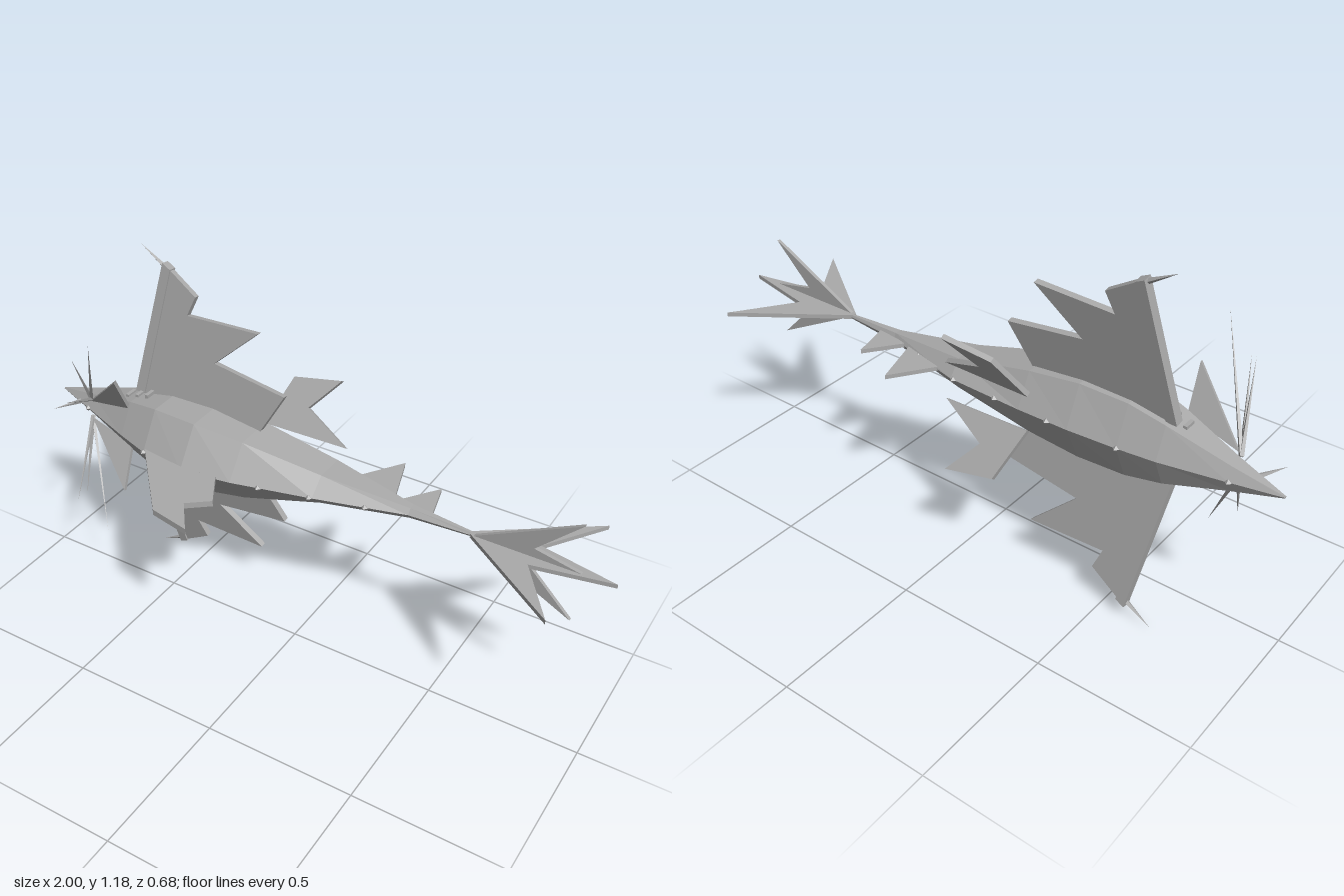
import * as THREE from 'three';

const MID = 0.592; // height of the symmetry plane

export function createModel() {
  const grey = new THREE.MeshStandardMaterial({ color: 0xaaaaaa, flatShading: true });
  grey.name = 'hull grey';
  const model = new THREE.Group();
  const V = (x, y, z) => new THREE.Vector3(x, y, z);
  const add = (name, geometry) => {
    const mesh = new THREE.Mesh(geometry, grey);
    mesh.name = name;
    model.add(mesh);
    return mesh;
  };

  // Flat plate: outline points in the plane spanned by x and v, through origin
  const plate = (name, pts, thickness, origin, v) => {
    const shape = new THREE.Shape(pts.map(p => new THREE.Vector2(p[0], p[1])));
    const g = new THREE.ExtrudeGeometry(shape, { depth: thickness, bevelEnabled: false });
    g.translate(0, 0, -thickness / 2);
    const u = V(1, 0, 0), vn = v.clone().normalize();
    const m = new THREE.Matrix4().makeBasis(u, vn, u.clone().cross(vn)).setPosition(origin);
    return add(name, g.applyMatrix4(m));
  };

  // Thin four-sided spike from root to tip
  const spike = (name, root, tip, radius) => {
    const dir = tip.clone().sub(root), len = dir.length();
    const g = new THREE.ConeGeometry(radius, len, 4);
    g.translate(0, len / 2, 0);
    const mesh = add(name, g);
    mesh.quaternion.setFromUnitVectors(V(0, 1, 0), dir.normalize());
    mesh.position.copy(root);
  };

  // Hexagonal hull: x, back z, front z, half height
  const stations = [
    [-1, -0.108, -0.1, 0.003], [-0.85, -0.14, -0.045, 0.04], [-0.65, -0.18, 0.03, 0.097],
    [-0.53, -0.193, 0.07, 0.121], [-0.37, -0.203, 0.09, 0.125], [-0.2, -0.204, 0.064, 0.105],
    [0.06, -0.195, 0, 0.052], [0.35, -0.125, -0.08, 0.018], [0.57, -0.104, -0.092, 0.006],
  ];
  const rings = stations.map(([x, back, front, h]) => {
    const at = t => back + (front - back) * t;
    return [[1, 0], [0.71, -h], [0.2, -h], [0, 0], [0.2, h], [0.71, h]]
      .map(([t, y]) => V(x, MID + y, at(t)));
  });
  const tris = [];
  for (let i = 0; i < rings.length - 1; i++) {
    for (let k = 0; k < 6; k++) {
      const n = (k + 1) % 6, a = rings[i], b = rings[i + 1];
      tris.push(a[k], a[n], b[n], a[k], b[n], b[k]);
    }
  }
  const first = rings[0], last = rings[rings.length - 1];
  for (let k = 1; k < 5; k++) {
    tris.push(first[0], first[k + 1], first[k], last[0], last[k], last[k + 1]);
  }
  const hull = new THREE.BufferGeometry().setFromPoints(tris);
  hull.computeVertexNormals();
  add('body', hull);

  // Fins and spines, mirrored above and below the symmetry plane
  for (const s of [1, -1]) {
    const side = s > 0 ? 'upper' : 'lower';
    const y = h => MID + s * (h - MID);
    // Outline given as x and height, slanted along direction (dy, dz)
    const slanted = (name, pts, thickness, y0, z0, dy, dz) => {
      const scale = Math.hypot(dy, dz) / dy;
      return plate(side + name, pts.map(([x, h]) => [x, (h - y0) * scale]), thickness,
        V(0, y(y0), z0), V(0, s * dy, dz));
    };

    slanted('MainFin', [[-0.66, 0.68], [-0.575, 1.13], [-0.463, 1.06], [-0.49, 0.994],
      [-0.227, 1.004], [-0.377, 0.867], [-0.115, 0.83], [-0.2, 0.675]],
    0.02, 0.7, -0.11, 0.44, -0.075);
    slanted('FinSpar', [[-0.675, 0.69], [-0.59, 1.14], [-0.56, 1.125], [-0.64, 0.69]],
      0.03, 0.7, -0.11, 0.44, -0.075);
    spike(side + 'FinTipSpine', V(-0.575, y(1.12), -0.18), V(-0.68, y(1.18), -0.187), 0.01);

    slanted('RearFin', [[-0.235, 0.655], [-0.18, 0.797], [-0.016, 0.823],
      [-0.1, 0.73], [0.065, 0.66]], 0.016, 0.655, -0.2, 0.165, -0.112);

    slanted('HeadFin', [[-0.83, 0.63], [-0.645, 0.805], [-0.655, 0.67]],
      0.012, 0.635, -0.045, 0.165, 0.085);

    // Whisker spines behind the nose
    const root = V(-0.84, y(0.625), -0.055);
    const tips = [[-0.68, 0.957, 0.11], [-0.72, 0.782, 0.195], [-0.79, 0.86, 0.075]];
    for (const [x, h, z] of tips) spike(side + 'Whisker', root, V(x, y(h), z), 0.008);

    // Gill slits
    for (let i = 0; i < 3; i++) {
      const gill = add(side + 'Gill', new THREE.BoxGeometry(0.012, 0.016, 0.04));
      gill.position.set(-0.69 + i * 0.04, y(0.678 + i * 0.012), -0.085);
    }

    // Cross fluke
    plate(side + 'CrossFluke', [[0.55, 0], [0.93, 0], [0.75, s * 0.038], [0.885, s * 0.173]],
      0.012, V(0, MID, -0.09), V(0, 1, 0));
  }

  // Fins lying in the symmetry plane, outlined as x and z
  const flat = (name, pts, thickness) => plate(name, pts, thickness, V(0, MID, 0), V(0, 0, 1));
  flat('keelFin', [[-0.54, 0.05], [-0.31, 0.31], [-0.172, 0.337], [-0.25, 0.235],
    [-0.182, 0.18], [-0.26, 0.05]], 0.02);
  flat('largeFinlet', [[0.12, -0.165], [0.22, -0.31], [0.275, -0.14]], 0.014);
  flat('smallFinlet', [[0.295, -0.13], [0.38, -0.245], [0.412, -0.118]], 0.014);
  flat('tailFluke', [[0.55, -0.103], [0.885, -0.34], [0.75, -0.145], [1, -0.095],
    [0.75, -0.045], [0.885, 0.15], [0.55, -0.088]], 0.014);
  spike('chinBarb', V(-0.89, MID, -0.085), V(-0.945, MID, 0.022), 0.01);

  // Studs along both ridges
  const ridge = (x, col) => {
    const i = stations.findIndex(r => r[0] > x), a = stations[i - 1], b = stations[i];
    return THREE.MathUtils.lerp(a[col], b[col], (x - a[0]) / (b[0] - a[0]));
  };
  for (const x of [-0.85, -0.53, -0.3, -0.11, 0.05, 0.22]) {
    for (const col of [1, 2]) {
      add('ridgeStud', new THREE.OctahedronGeometry(0.011)).position.set(x, MID, ridge(x, col));
    }
  }
  return model;
}
